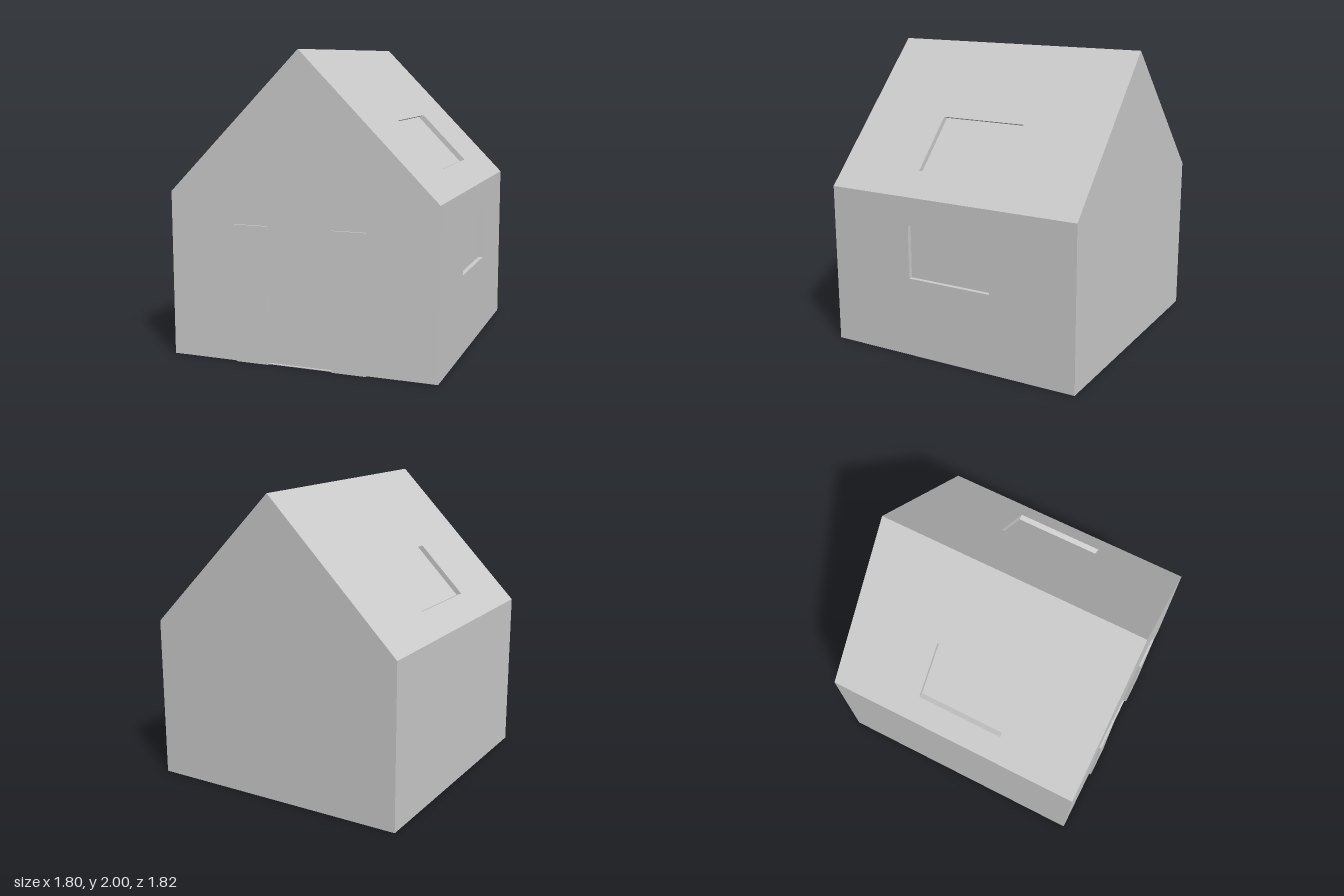
import * as THREE from 'three';
import { mergeGeometries } from 'three/addons/utils/BufferGeometryUtils.js';

const HALF = 0.9, EAVE = 1.09, RIDGE = 2, FRONT = 0.895, BACK = -0.91;
const SLOPE = Math.hypot(HALF, RIDGE - EAVE);
const material = new THREE.MeshStandardMaterial({ color: 0xcccccc, flatShading: true });

const rect = (x0, y0, x1, y1) => [[x0, y0], [x1, y0], [x1, y1], [x0, y1]].map(p => new THREE.Vector2(...p));

// Flat face from four corners, counter-clockwise from its front
function quad(a, b, c, d) {
  const g = new THREE.BufferGeometry().setFromPoints([a, b, c, a, c, d]);
  g.computeVertexNormals();
  return g;
}

// Flat outline laid on the plane (origin, u, v), with an optional sunken opening
function panel(name, outline, origin, u, v, hole, sink) {
  const shape = new THREE.Shape(outline);
  const parts = [];
  if (hole) {
    shape.holes.push(new THREE.Path(hole));
    const outer = hole.map(p => new THREE.Vector3(p.x, p.y, 0));
    const inner = outer.map(p => p.clone().add(sink));
    outer.forEach((p, i) => {
      const j = (i + 1) % 4;
      parts.push(quad(p, outer[j], inner[j], inner[i]));
    });
    parts.push(quad(...inner));
  }
  const face = new THREE.ShapeGeometry(shape).toNonIndexed();
  face.deleteAttribute('uv');
  parts.push(face);
  const geometry = mergeGeometries(parts);
  const n = new THREE.Vector3().crossVectors(u, v);
  geometry.applyMatrix4(new THREE.Matrix4().makeBasis(u, v, n).setPosition(origin));
  const mesh = new THREE.Mesh(geometry, material);
  mesh.name = name;
  return mesh;
}

export function createModel() {
  const house = new THREE.Group();
  house.name = 'house';
  const V = (x, y, z) => new THREE.Vector3(x, y, z);
  const up = V(0, 1, 0);

  // Gable ends, the front one with a sunken door
  const gable = [[-HALF, 0], [HALF, 0], [HALF, EAVE], [0, RIDGE], [-HALF, EAVE]].map(p => new THREE.Vector2(...p));
  house.add(panel('frontWallWithDoor', gable, V(0, 0, FRONT), V(1, 0, 0), up,
    rect(-0.22, 0.005, 0.217, 0.9), V(0, 0, -0.015)));
  house.add(panel('backWall', gable, V(0, 0, BACK), V(-1, 0, 0), up));

  // Side walls and roof slopes; only the left wall has a window
  for (const s of [1, -1]) {
    const side = s > 0 ? 'left' : 'right';
    const u = V(0, 0, -s);
    const u0 = s > 0 ? -FRONT : BACK, u1 = s > 0 ? -BACK : FRONT;
    const w0 = s > 0 ? -0.295 : -0.31, w1 = s > 0 ? 0.31 : 0.295;
    house.add(panel(side + 'Wall', rect(u0, 0, u1, EAVE), V(s * HALF, 0, 0), u, up,
      s > 0 ? rect(w0, 0.54, w1, 0.9) : null, V(0, 0, -0.03)));
    house.add(panel(side + 'RoofWithSkylight', rect(u0, 0, u1, SLOPE), V(s * HALF, EAVE, 0), u,
      V(-s * HALF, RIDGE - EAVE, 0).normalize(),
      rect(w0, 0.203, w1, 0.635), V(0, 0.015, -0.033)));

    // Raised panel beside the door
    const shutter = new THREE.Mesh(new THREE.BoxGeometry(0.226, 0.9, 0.015), material);
    shutter.position.set(s * 0.331, 0.45, FRONT + 0.0075);
    shutter.name = side + 'DoorPanel';
    house.add(shutter);
  }

  // Underside
  house.add(panel('floor', rect(-HALF, BACK, HALF, FRONT), V(0, 0, 0), V(1, 0, 0), V(0, 0, 1)));
  return house;
}
